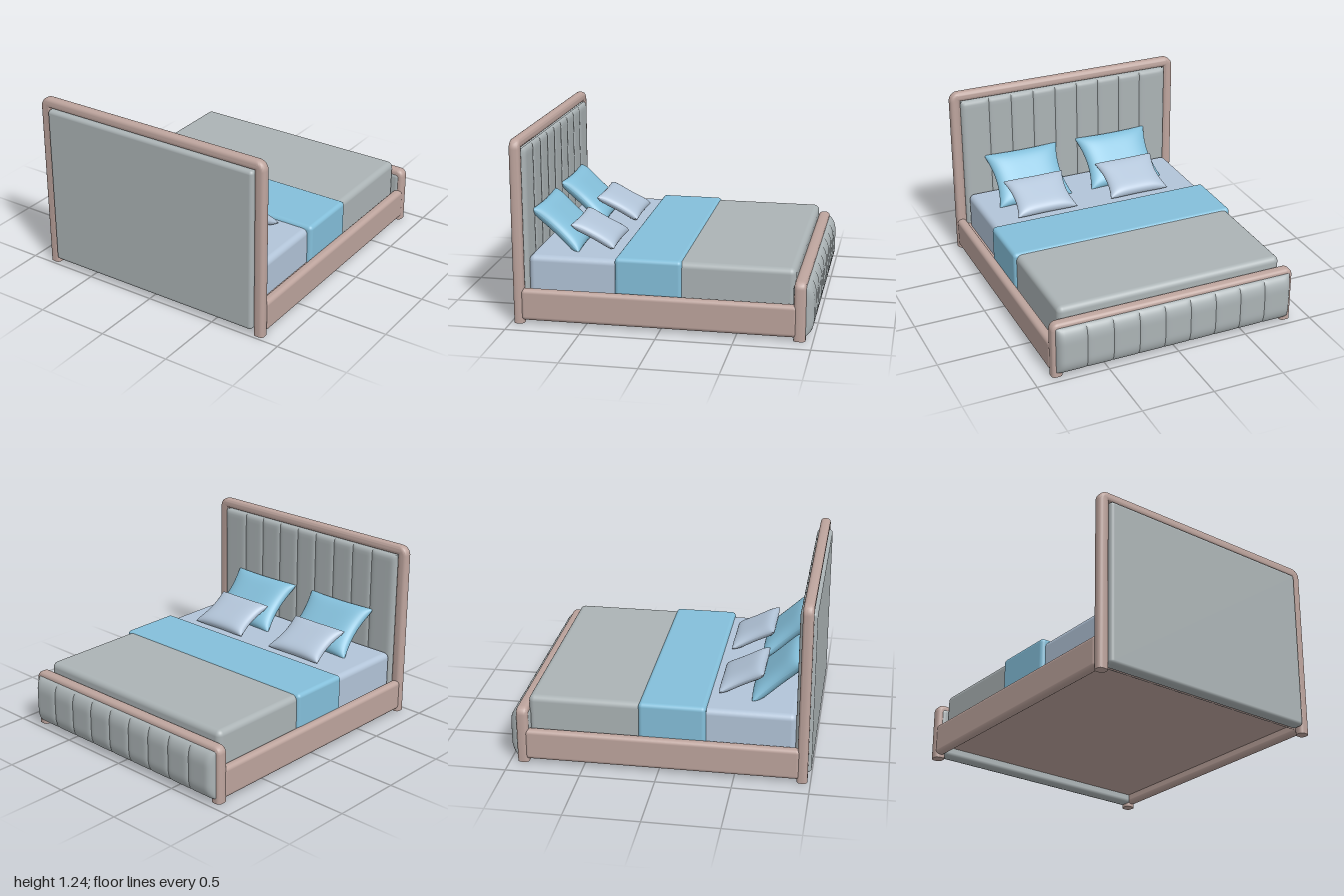
import * as THREE from 'three';
import { toCreasedNormals } from 'three/addons/utils/BufferGeometryUtils.js';
import { RoundedBoxGeometry } from 'three/addons/geometries/RoundedBoxGeometry.js';

function material(name, color) {
  const m = new THREE.MeshStandardMaterial({ color });
  m.name = name;
  return m;
}

// Rounded block given by its lower and upper corners
function block(name, mat, [x0, y0, z0], [x1, y1, z1], radius) {
  const geo = new RoundedBoxGeometry(x1 - x0, y1 - y0, z1 - z0, 4, radius);
  const mesh = new THREE.Mesh(geo, mat);
  mesh.name = name;
  mesh.position.set((x0 + x1) / 2, (y0 + y1) / 2, (z0 + z1) / 2);
  return mesh;
}

// Upside-down U frame with rounded edges and flat feet on the floor
function arch(name, mat, halfWidth, height, legWidth, topHeight, z0, z1, corner) {
  const b = 0.026;
  const w = halfWidth - b, h = height - b, c = corner - b;
  const wi = halfWidth - legWidth + b, hi = height - topHeight + b;
  const s = new THREE.Shape();
  s.moveTo(-w, 0);
  s.lineTo(-wi, 0);
  s.lineTo(-wi, hi);
  s.lineTo(wi, hi);
  s.lineTo(wi, 0);
  s.lineTo(w, 0);
  s.lineTo(w, h - c);
  s.absarc(w - c, h - c, c, 0, Math.PI / 2, false);
  s.lineTo(-w + c, h);
  s.absarc(-w + c, h - c, c, Math.PI / 2, Math.PI, false);
  s.closePath();
  const geo = new THREE.ExtrudeGeometry(s, {
    depth: z1 - z0 - 2 * b, bevelSize: b, bevelThickness: b, bevelSegments: 5, curveSegments: 5,
  });
  const p = geo.attributes.position;
  for (let k = 0; k < p.count; k++) p.setY(k, Math.max(0, p.getY(k)));
  const mesh = new THREE.Mesh(toCreasedNormals(geo, 0.7), mat);
  mesh.name = name;
  mesh.position.z = z0 + b;
  return mesh;
}

// Row of nine padded channels, bulging towards -z from the plane z = base
function channels(name, mat, halfWidth, y0, y1, seam, base, depth, roundX, roundY) {
  const group = new THREE.Group();
  group.name = name;
  const edges = [-halfWidth];
  for (let i = 0; i < 8; i++) edges.push(-seam + (2 * seam * i) / 7);
  edges.push(halfWidth);
  const h = y1 - y0;
  const fall = (d, round) => {
    const t = Math.min(1, Math.max(0, d / round));
    return Math.sqrt(1 - (1 - t) ** 2);
  };
  for (let i = 0; i < 9; i++) {
    const w = edges[i + 1] - edges[i], cx = (edges[i] + edges[i + 1]) / 2;
    const geo = new THREE.PlaneGeometry(w, h, 16, 28);
    const p = geo.attributes.position;
    for (let k = 0; k < p.count; k++) {
      // crowd the grid towards the edges, where the padding curves
      const s = Math.sin((p.getX(k) / w) * Math.PI), v = Math.sin((p.getY(k) / h) * Math.PI);
      const x = (s * w) / 2, y = (v * h) / 2;
      const outer = halfWidth - Math.abs(cx - x);
      const seamDip = 0.011 * Math.abs(s) ** 8;
      const bulge = fall(h / 2 - Math.abs(y), roundY) * fall(outer, roundX);
      p.setXYZ(k, x, y, (depth - seamDip) * bulge);
    }
    geo.computeVertexNormals();
    const mesh = new THREE.Mesh(geo, mat);
    mesh.name = 'paddedChannel';
    mesh.rotation.y = Math.PI;
    mesh.position.set(cx, (y0 + y1) / 2, base);
    group.add(mesh);
  }
  return group;
}

// Cushion with pointed corners and hollow sides, made of two puffed faces
function pillow(name, mat, halfW, halfL, thick, position, tilt) {
  const group = new THREE.Group();
  group.name = name;
  for (const side of [1, -1]) {
    const geo = new THREE.PlaneGeometry(2, 2, 28, 28);
    const p = geo.attributes.position;
    for (let k = 0; k < p.count; k++) {
      const u = Math.sin((p.getX(k) * Math.PI) / 2), v = Math.sin((p.getY(k) * Math.PI) / 2);
      const puff = Math.sqrt(Math.max(0, (1 - u ** 4) * (1 - v ** 6)));
      p.setXYZ(k,
        u * halfW * (1 - 0.13 * (1 - v * v)),
        v * halfL * (1 - 0.05 * (1 - u * u)),
        thick * puff);
    }
    geo.computeVertexNormals();
    const face = new THREE.Mesh(geo, mat);
    face.name = side > 0 ? 'pillowTop' : 'pillowUnderside';
    if (side < 0) face.rotation.y = Math.PI;
    group.add(face);
  }
  group.position.set(...position);
  group.rotation.x = Math.PI / 2 - tilt + Math.PI;
  return group;
}

export function createModel() {
  const wood = material('dusty rose frame', 0xbda49d);
  const grey = material('grey upholstery', 0xabb3b5);
  const blue = material('sky blue fabric', 0x84bfda);
  const pale = material('pale blue linen', 0xb2c4d8);

  const bed = new THREE.Group();
  bed.name = 'bed';

  // Headboard
  bed.add(arch('headboardFrame', wood, 0.875, 1.24, 0.075, 0.07, 0.91, 0.98, 0.066));
  bed.add(block('headboardPanel', grey, [-0.803, 0.04, 0.91], [0.803, 1.17, 1.0], 0.025));
  bed.add(channels('headboardPadding', grey, 0.803, 0.04, 1.17, 0.595, 0.915, 0.026, 0.03, 0.03));

  // Footboard
  bed.add(arch('footboardFrame', wood, 0.875, 0.395, 0.075, 0.07, -0.951, -0.873, 0.05));
  bed.add(block('footboardPanel', grey, [-0.85, 0.022, -0.955], [0.85, 0.365, -0.865], 0.03));
  bed.add(channels('footboardPadding', grey, 0.85, 0.03, 0.365, 0.644, -0.945, 0.055, 0.05, 0.1));

  // Side rails, and the base recessed a little above their lower edges
  for (const s of [-1, 1]) {
    const x = s * 0.842;
    bed.add(block('sideRail', wood, [x - 0.033, 0.022, -0.9], [x + 0.033, 0.237, 0.93], 0.028));
  }
  bed.add(block('base', wood, [-0.83, 0.085, -0.88], [0.83, 0.2, 0.91], 0.003));

  // Mattress and covers
  bed.add(block('mattress', pale, [-0.8, 0.15, -0.86], [0.788, 0.447, 0.893], 0.04));
  bed.add(block('blanket', grey, [-0.81, 0.15, -0.878], [0.8, 0.46, -0.1], 0.04));
  bed.add(block('throw', blue, [-0.829, 0.15, -0.14], [0.818, 0.47, 0.306], 0.028));

  // Pillows
  for (const s of [-1, 1]) {
    const x = 0.012 + s * 0.358;
    bed.add(pillow('largePillow', blue, 0.283, 0.212, 0.06, [x, 0.583, 0.743], 0.74));
    bed.add(pillow('smallPillow', pale, 0.227, 0.165, 0.047, [x, 0.538, 0.505], 0.47));
  }
  return bed;
}
